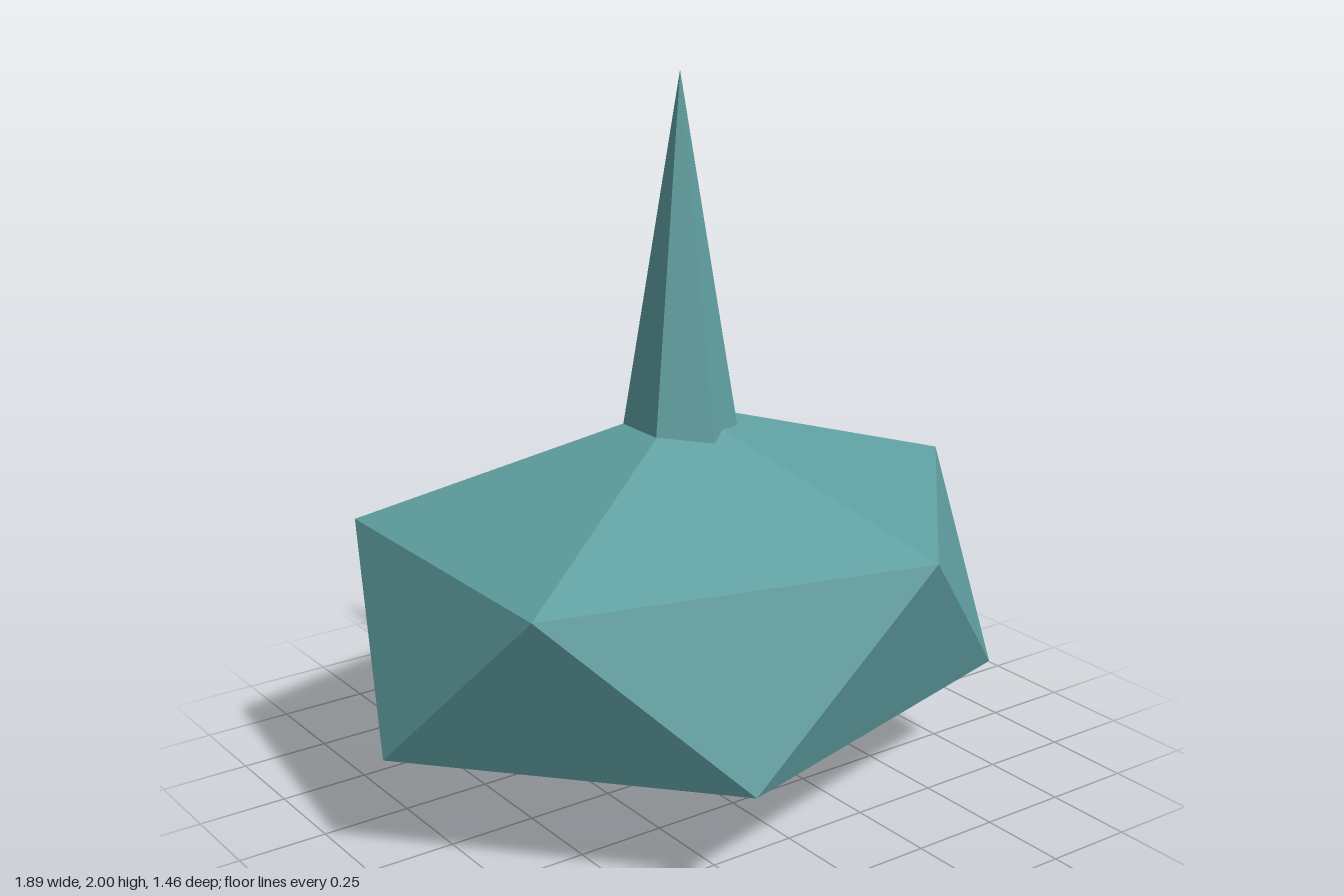
import * as THREE from 'three';

export function createModel() {
  const group = new THREE.Group();
  const teal = new THREE.MeshStandardMaterial({ color: 0x5f9ea0 });
  teal.name = 'teal';
  teal.flatShading = true;

  // Faceted body: icosahedron tipped so one corner points straight up, then squashed
  const golden = (1 + Math.sqrt(5)) / 2;
  const bodyGeometry = new THREE.IcosahedronGeometry(1, 0)
    .rotateZ(-Math.atan(1 / golden))
    .scale(1.056, 0.549, 0.859)
    .translate(0, 0.55, 0);
  const body = new THREE.Mesh(bodyGeometry, teal);
  body.name = 'body';
  group.add(body);

  // Six-sided spike, its base sunk into the body
  const tipY = 2, baseY = 1.0, taper = 0.162;
  const height = tipY - baseY;
  const spike = new THREE.Mesh(new THREE.ConeGeometry(height * taper, height, 6), teal);
  spike.name = 'spike';
  spike.position.y = baseY + height / 2;
  group.add(spike);

  return group;
}
